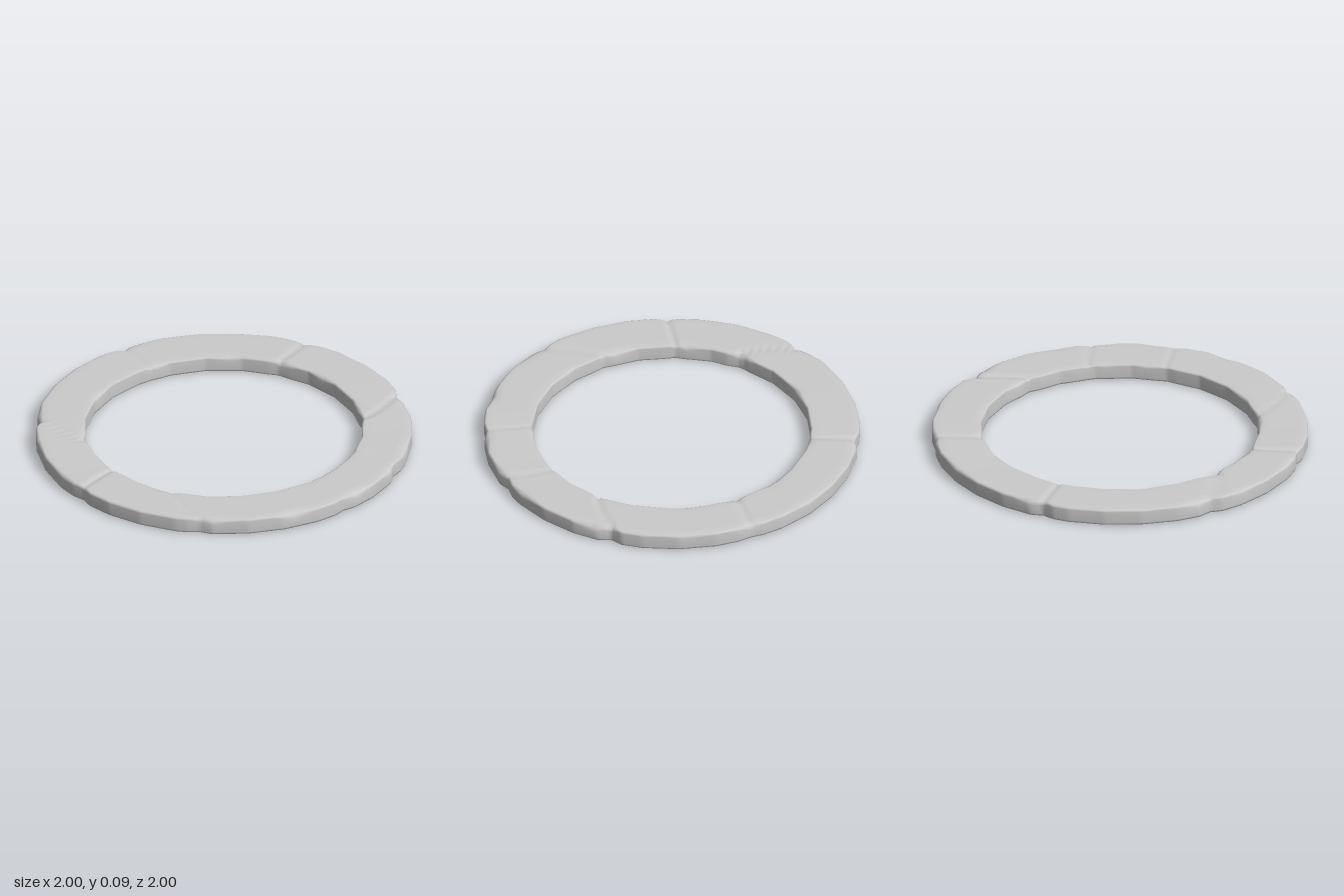
import * as THREE from 'three';

const TAU = Math.PI * 2;
const RAD = Math.PI / 180;
const lerp = THREE.MathUtils.lerp;

// Stone joints, in degrees: outer angle, inner angle, outer notch depth, inner notch depth, groove depth
const JOINTS = [
  [-11.6, -14, 0.014, 0.004, 0.008],
  [33, 45, 0.028, 0.008, 0.010],
  [76, 72, 0.018, 0.002, 0.006],
  [102, 104, 0.018, 0.003, 0.004],
  [150, 164, 0.012, 0.005, 0.006],
  [192, 195, 0.020, 0.004, 0.008],
  [236, 222, 0.026, 0.010, 0.008],
  [290, 291, 0.020, 0.005, 0.007],
];
// Worn upper edges, in degrees: angle, half width, outer wear, inner wear
const CHIPS = [
  [38, 8, 0.022, 0.008], [66, 7, 0.014, 0], [80, 5, 0.016, 0.004], [97, 6, 0.018, 0.008],
  [120, 7, 0.020, 0], [146, 8, 0.014, 0.006], [170, 9, 0, 0.018], [200, 7, 0.008, 0.014],
  [224, 7, 0.006, 0.018], [240, 6, 0.016, 0], [258, 8, 0, 0.012], [294, 6, 0.014, 0.012],
  [325, 9, 0.006, 0.010], [348, 7, 0.012, 0.014], [8, 8, 0.006, 0.012],
];

// 1 at the given angle, fading to 0 at the half width
function bump(deg, centre, half) {
  const d = Math.abs(((deg - centre + 540) % 360 + 360) % 360 - 180);
  return Math.max(0, 1 - d / half);
}

// Radius of a regular polygon, giving the outline its short straight runs
function polygonRadius(deg, radius, sides) {
  const step = TAU / sides;
  const a = (((deg * RAD) % step) + step) % step;
  return radius * Math.cos(step / 2) / Math.cos(a - step / 2);
}

// Closed cross-section of the ring at one angle, as [radius, height] pairs
function section(deg) {
  let outer = polygonRadius(deg, 1, 32);
  let inner = polygonRadius(deg, 0.738, 24);
  for (const [ao, ai, depthOut, depthIn] of JOINTS) {
    outer -= depthOut * bump(deg, ao, 4);
    inner += depthIn * bump(deg, ai, 5);
  }
  let wearOut = 0.012, wearIn = 0.010;
  for (const [a, half, wo, wi] of CHIPS) {
    wearOut += wo * bump(deg, a, half);
    wearIn += wi * bump(deg, a, half);
  }
  const top = (t) => {
    let y = 0.09 + 0.002 * Math.sin(3 * deg * RAD + 1);
    for (const [ao, ai, , , groove] of JOINTS) {
      y -= groove * bump(deg, lerp(ai, ao, t), 1.6);
    }
    return y;
  };
  const points = [];
  // upper face, from the inner edge to the outer edge
  for (let i = 0; i <= 6; i++) {
    const t = i / 6;
    points.push([lerp(inner + wearIn, outer - wearOut, t), top(t)]);
  }
  // outer wall
  points.push([outer - wearOut * 0.3, top(1) - wearOut * 0.35]);
  points.push([outer, top(1) - wearOut * 1.1]);
  points.push([outer, 0.016], [outer - 0.004, 0.005], [outer - 0.014, 0]);
  // underside and inner wall
  points.push([inner + 0.012, 0], [inner + 0.003, 0.005], [inner, 0.015]);
  points.push([inner, top(0) - wearIn * 1.1]);
  points.push([inner + wearIn * 0.3, top(0) - wearIn * 0.35]);
  return points;
}

function ringGeometry(steps) {
  const positions = [], index = [];
  let count = 0;
  for (let s = 0; s < steps; s++) {
    const deg = (s / steps) * 360;
    const points = section(deg);
    count = points.length;
    for (const [r, y] of points) {
      positions.push(r * Math.cos(deg * RAD), y, r * Math.sin(deg * RAD));
    }
  }
  for (let s = 0; s < steps; s++) {
    const next = (s + 1) % steps;
    for (let j = 0; j < count; j++) {
      const k = (j + 1) % count;
      const a = s * count + j, b = s * count + k;
      const c = next * count + k, d = next * count + j;
      index.push(a, d, b, b, d, c);
    }
  }
  const geometry = new THREE.BufferGeometry();
  geometry.setAttribute('position', new THREE.Float32BufferAttribute(positions, 3));
  geometry.setIndex(index);
  geometry.computeVertexNormals();
  return geometry;
}

export function createModel() {
  const group = new THREE.Group();
  group.name = 'stoneRing';
  const stone = new THREE.MeshStandardMaterial({ color: 0xcccccc });
  const ring = new THREE.Mesh(ringGeometry(360), stone);
  ring.name = 'kerbStones';
  group.add(ring);
  return group;
}
